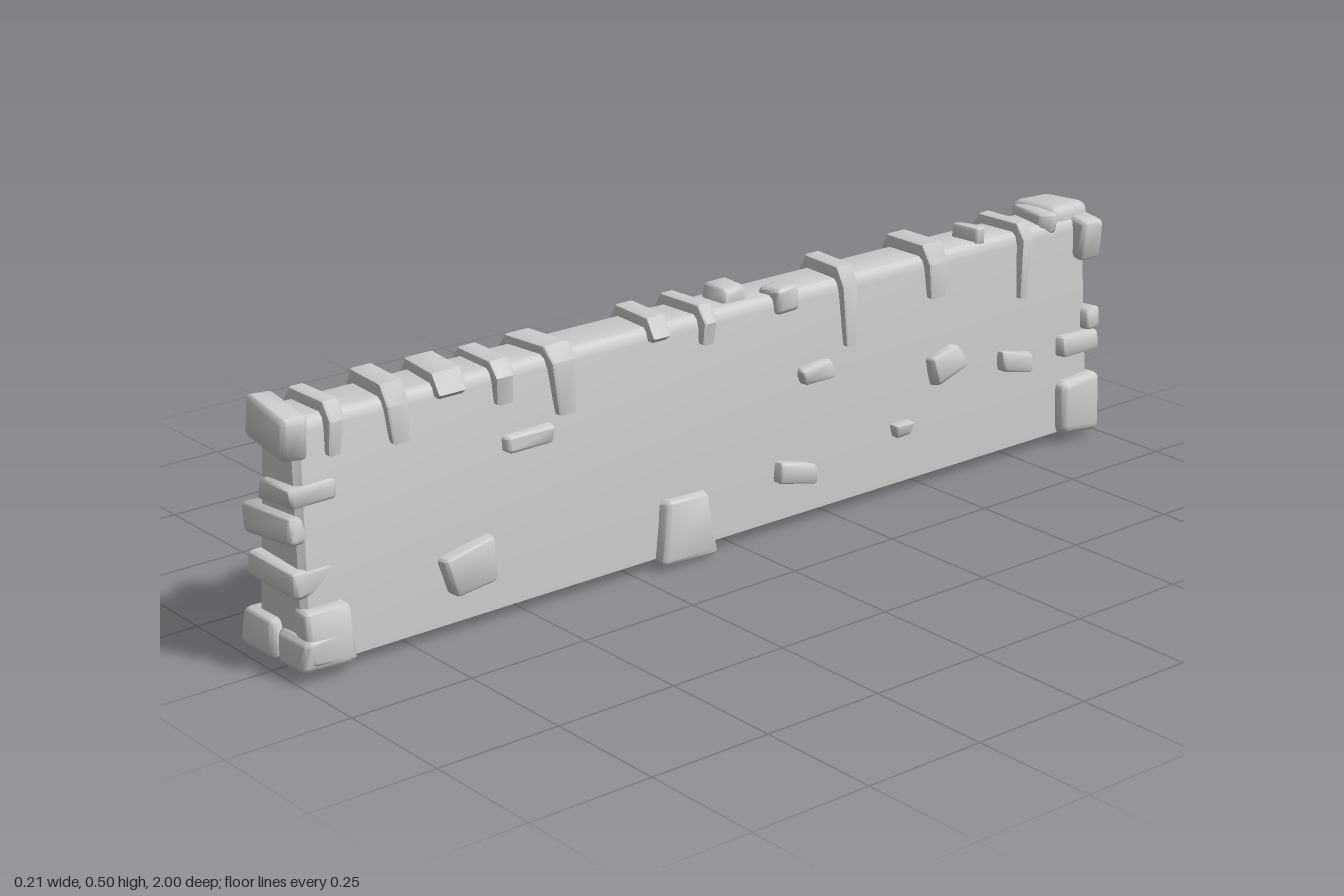
import * as THREE from 'three';
import { mergeVertices, toCreasedNormals } from 'three/addons/utils/BufferGeometryUtils.js';
import { RoundedBoxGeometry } from 'three/addons/geometries/RoundedBoxGeometry.js';

const material = new THREE.MeshStandardMaterial({ color: 0xcccccc });
const openMaterial = new THREE.MeshStandardMaterial({ color: 0xcccccc, side: THREE.DoubleSide });

let seed = 7;
const rand = () => {
  seed = (seed * 16807) % 2147483647;
  return seed / 2147483647;
};

// Half thickness of the tapered wall at height y
const halfAt = (y) => 0.078 - 0.024 * (y - 0.03) / 0.45;

// Tapered wall body: chamfered rectangular rings, closed on top, open below
function wallGeometry() {
  const rings = [[0.03, 0.078, 0.978, 0.01], [0.455, 0.0555, 0.967, 0.012], [0.472, 0.051, 0.962, 0.014], [0.48, 0.042, 0.952, 0.014]];
  const pos = [], idx = [], n = 8;
  for (const [y, hx, hz, c] of rings) {
    for (const [x, z] of [[hx, hz - c], [hx, c - hz], [hx - c, -hz], [c - hx, -hz], [-hx, c - hz], [-hx, hz - c], [c - hx, hz], [hx - c, hz]]) pos.push(x, y, z);
  }
  for (let r = 0; r < rings.length - 1; r++) {
    for (let i = 0; i < n; i++) {
      const a = r * n + i, b = r * n + (i + 1) % n;
      idx.push(a, b, b + n, a, b + n, a + n);
    }
  }
  const top = (rings.length - 1) * n;
  for (let i = 1; i < n - 1; i++) idx.push(top, top + i, top + i + 1);
  const g = new THREE.BufferGeometry();
  g.setAttribute('position', new THREE.Float32BufferAttribute(pos, 3));
  g.setIndex(idx);
  return toCreasedNormals(g, 0.6);
}

// Rounded stone with its eight corners pushed about
function stoneGeometry(w, h, d, jitter) {
  const g = new RoundedBoxGeometry(w, h, d, 2, Math.min(w, h, d) * 0.2);
  const p = g.attributes.position;
  const corners = Array.from({ length: 8 }, () => [0, 1, 2].map(() => (rand() - 0.6) * jitter));
  const size = [w, h, d];
  for (let i = 0; i < p.count; i++) {
    const v = [p.getX(i), p.getY(i), p.getZ(i)];
    const t = v.map((c, k) => c / size[k] + 0.5);
    const out = v.slice();
    corners.forEach((o, k) => {
      const wt = (k & 1 ? t[0] : 1 - t[0]) * (k & 2 ? t[1] : 1 - t[1]) * (k & 4 ? t[2] : 1 - t[2]);
      for (let a = 0; a < 3; a++) out[a] += wt * Math.sign(v[a]) * o[a] * size[a];
    });
    p.setXYZ(i, ...out);
  }
  g.deleteAttribute('normal');
  g.deleteAttribute('uv');
  return toCreasedNormals(mergeVertices(g, 1e-5), 0.8);
}

// Stone draped over the top edge, hanging to heights yl (-x side) and yr (+x side)
function strapGeometry(w, yl, yr, top) {
  const t = 0.012, s = new THREE.Shape();
  const edge = (y, o) => halfAt(y) + o;
  s.moveTo(-edge(yl, t * 0.5), yl);
  s.lineTo(-edge(0.46, t), 0.465);
  s.lineTo(-0.048, top - 0.006);
  s.lineTo(0.048, top - 0.006);
  s.lineTo(edge(0.46, t), 0.465);
  s.lineTo(edge(yr, t * 0.5), yr);
  s.lineTo(edge(yr, -0.012), yr);
  s.lineTo(0.035, 0.455);
  s.lineTo(-0.035, 0.455);
  s.lineTo(-edge(yl, -0.012), yl);
  const b = 0.006;
  const g = new THREE.ExtrudeGeometry(s, { depth: w - 2 * b, bevelSize: b, bevelThickness: b, bevelSegments: 2 });
  g.translate(0, 0, b - w / 2);
  const p = g.attributes.position;
  // Narrow the hanging tips and skew the strap a little
  const skew = (rand() - 0.5) * 0.25, lean = (rand() - 0.5) * 0.2;
  for (let i = 0; i < p.count; i++) {
    const drop = Math.max(0, 0.48 - p.getY(i));
    p.setZ(i, p.getZ(i) * (1 - drop * 3) + p.getX(i) * skew + drop * lean);
  }
  g.deleteAttribute('normal');
  g.deleteAttribute('uv');
  return toCreasedNormals(mergeVertices(g, 1e-5), 0.7);
}

export function createModel() {
  const model = new THREE.Group();
  const add = (name, geometry, mat = material) => {
    const m = new THREE.Mesh(geometry, mat);
    m.name = name;
    model.add(m);
    return m;
  };
  add('wallBody', wallGeometry(), openMaterial);

  // Stones set in the two long faces: side, z, y, length, height, tilt
  const faceStones = [
    [1, 0.63, 0.13, 0.115, 0.085, 0.1], [1, 0.13, 0.085, 0.12, 0.13, 0],
    [1, -0.15, 0.12, 0.10, 0.042, -0.25], [1, -0.43, 0.145, 0.045, 0.03, 0],
    [1, -0.21, 0.312, 0.085, 0.035, 0.05], [1, -0.55, 0.25, 0.095, 0.06, 0.3],
    [1, -0.75, 0.215, 0.09, 0.04, -0.2], [1, 0.48, 0.338, 0.115, 0.035, 0],
    [-1, -0.63, 0.29, 0.09, 0.075, 0.1], [-1, -0.56, 0.155, 0.12, 0.09, 0.05],
    [-1, -0.7, 0.12, 0.10, 0.04, -0.25], [-1, -0.33, 0.13, 0.045, 0.03, 0.2],
    [-1, -0.28, 0.25, 0.085, 0.035, 0.2], [-1, -0.03, 0.068, 0.13, 0.115, 0],
    [-1, 0.24, 0.2, 0.105, 0.085, 0.05], [-1, 0.41, 0.14, 0.12, 0.038, -0.15],
    [-1, 0.5, 0.28, 0.11, 0.07, -0.5], [-1, 0.71, 0.35, 0.07, 0.12, 0],
  ];
  for (const [side, z, y, len, h, tilt] of faceStones) {
    const m = add('faceStone', stoneGeometry(0.052, h, len, 0.25));
    m.position.set(side * (halfAt(y) - 0.003), y, z);
    m.rotation.set(tilt, 0, side * 0.05);
  }

  // Stones draped over the top: z, width, left end height, right end height, top
  const straps = [
    [0.89, 0.035, 0.43, 0.41, 0.5], [0.76, 0.05, 0.42, 0.40, 0.505],
    [0.64, 0.065, 0.43, 0.46, 0.5], [0.53, 0.045, 0.39, 0.42, 0.495],
    [0.41, 0.06, 0.44, 0.37, 0.497], [0.17, 0.045, 0.43, 0.46, 0.5],
    [0.06, 0.035, 0.38, 0.43, 0.5], [-0.3, 0.042, 0.38, 0.35, 0.505],
    [-0.53, 0.055, 0.35, 0.40, 0.505], [-0.78, 0.034, 0.44, 0.35, 0.5],
  ];
  for (const [z, w, yl, yr, top] of straps) {
    add('topStrapStone', strapGeometry(w, yl, yr, top)).position.z = z;
  }

  // Small stones lying on the top: x, y, z, width, height, length, turn
  const topStones = [
    [0, 0.485, -0.035, 0.065, 0.045, 0.06, 0], [0.035, 0.468, -0.14, 0.06, 0.05, 0.06, 0.2],
    [0.015, 0.487, -0.665, 0.07, 0.045, 0.028, 0.1], [0.005, 0.478, -0.87, 0.11, 0.045, 0.045, -0.25],
  ];
  for (const [x, y, z, w, h, d, turn] of topStones) {
    const m = add('topStone', stoneGeometry(w, h, d, 0.15));
    m.position.set(x, y, z);
    m.rotation.y = turn;
  }

  // Stones wrapping the two ends, by bounds: x0, x1, y0, y1, z0, z1, tilt about z
  const endStones = [
    [-0.06, 0.07, 0.418, 0.497, 0.945, 0.995, -0.18],
    [-0.04, 0.068, 0.32, 0.358, 0.89, 0.99, 0.06],
    [-0.092, 0.062, 0.247, 0.303, 0.9, 0.99, 0.1],
    [-0.078, 0.074, 0.162, 0.215, 0.905, 0.995, -0.05],
    [-0.104, 0.006, 0.025, 0.097, 0.9, 1.0, 0.03],
    [0.0, 0.104, 0.025, 0.09, 0.885, 0.995, 0.03],
    [0.045, 0.1, 0.03, 0.138, 0.885, 0.985, 0.05],
    [-0.08, 0.045, 0.38, 0.503, -0.992, -0.875, 0.03],
    [0.0, 0.084, 0.395, 0.485, -0.99, -0.93, -0.1],
    [-0.092, 0.0, 0.22, 0.345, -0.998, -0.9, 0.04],
    [-0.03, 0.09, 0.19, 0.235, -0.995, -0.87, 0.08],
    [0.02, 0.09, 0.24, 0.285, -0.99, -0.95, 0.1],
    [0.015, 0.1, 0.02, 0.145, -0.985, -0.875, 0.04],
    [-0.098, 0.01, 0.008, 0.085, -1.0, -0.89, 0.05],
  ];
  for (const [x0, x1, y0, y1, z0, z1, tilt] of endStones) {
    const m = add('endStone', stoneGeometry(x1 - x0, y1 - y0, z1 - z0, 0.12));
    m.position.set((x0 + x1) / 2, (y0 + y1) / 2, (z0 + z1) / 2);
    m.rotation.z = tilt;
  }
  return model;
}
